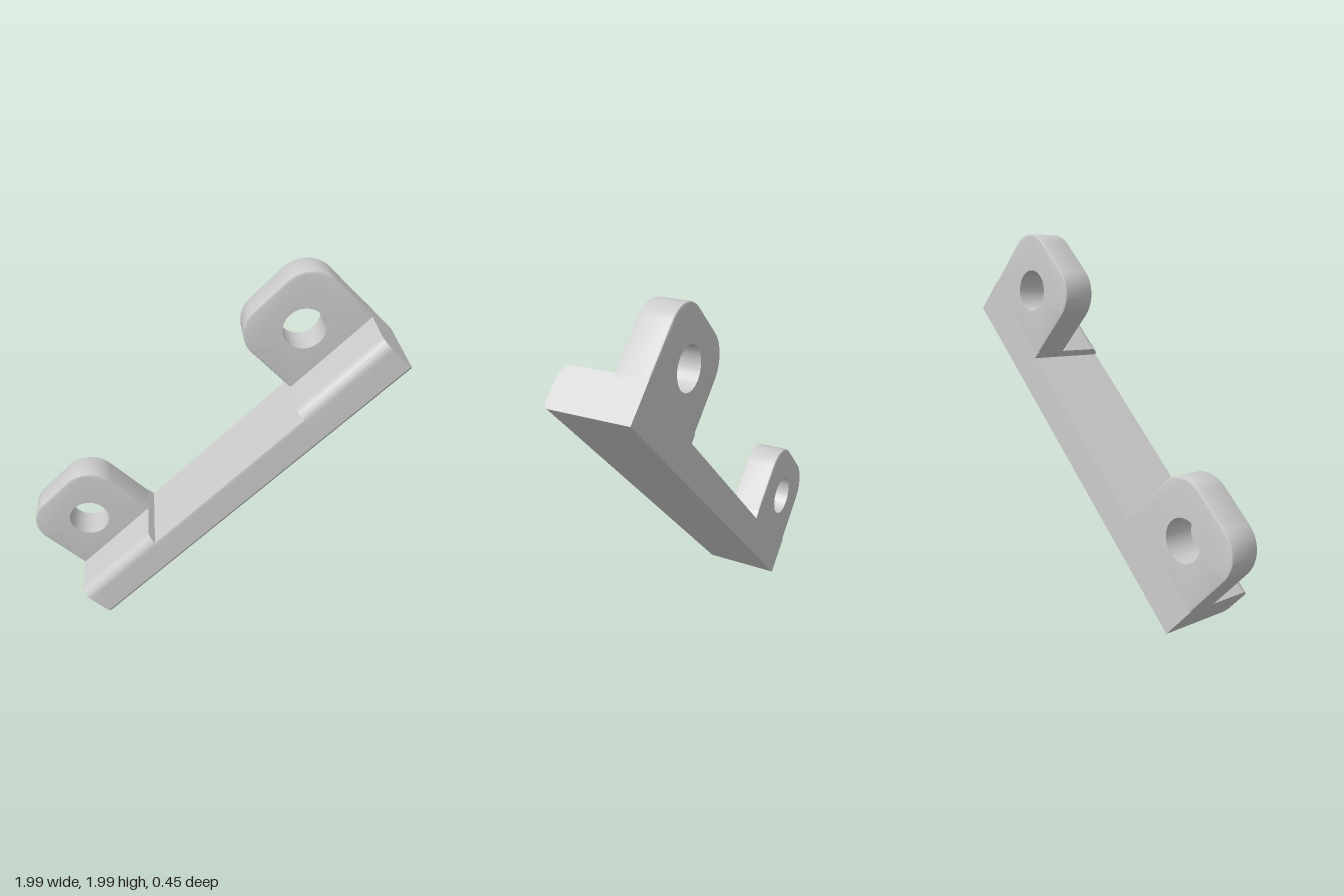
import * as THREE from 'three';
import { toCreasedNormals } from 'three/addons/utils/BufferGeometryUtils.js';

const LENGTH = 2.231, PAD = 0.562;   // bar length, length of each raised end
const HALF = 0.225;                  // half depth of the bar
const PAD_H = 0.223, MID_H = 0.174;  // heights of the ends and the middle
const FILLET = 0.065, CHAMFER = 0.02;
const EAR_TOP = 0.685, EAR_R = 0.17, EAR_DEPTH = 0.18, BEVEL = 0.012;
const HOLE_V = 0.426, HOLE_R = 0.113;

const material = new THREE.MeshStandardMaterial({ color: 0xcccccc });

function addMesh(parent, name, geometry) {
  const mesh = new THREE.Mesh(toCreasedNormals(geometry, 0.6), material);
  mesh.name = name;
  parent.add(mesh);
}

// Bar section with a rounded front top edge, cut off at the given height
function barSegment(start, length, height) {
  const cy = PAD_H - FILLET;
  const sweep = Math.asin(Math.min(1, (height - cy) / FILLET));
  const s = new THREE.Shape();
  s.moveTo(HALF, 0);
  s.lineTo(HALF, height);
  s.absarc(-HALF + FILLET, cy, FILLET, Math.PI - sweep, Math.PI, false);
  s.lineTo(-HALF, CHAMFER);
  s.lineTo(-HALF + CHAMFER, 0);
  s.closePath();
  const g = new THREE.ExtrudeGeometry(s, { depth: length, bevelEnabled: false, curveSegments: 6 });
  return g.rotateY(Math.PI / 2).translate(start, 0, 0);
}

// Mounting ear with rounded outer corners, soft edges and a straight round hole
function ear(start) {
  const base = 0.2, cu = PAD / 2;
  const s = new THREE.Shape();
  s.moveTo(0, base);
  s.lineTo(PAD, base);
  s.absarc(PAD - EAR_R, EAR_TOP - EAR_R, EAR_R, 0, Math.PI / 2, false);
  s.absarc(EAR_R, EAR_TOP - EAR_R, EAR_R, Math.PI / 2, Math.PI, false);
  s.closePath();
  const hole = new THREE.Path();
  hole.absarc(cu, HOLE_V, HOLE_R, 0, Math.PI * 2, true);
  s.holes.push(hole);
  const g = new THREE.ExtrudeGeometry(s, {
    depth: EAR_DEPTH - 2 * BEVEL, curveSegments: 12,
    bevelThickness: BEVEL, bevelSize: BEVEL, bevelOffset: -BEVEL, bevelSegments: 2,
  });
  // Keep the hole wall straight: pull its bevelled rim back to the radius
  const p = g.attributes.position;
  for (let i = 0; i < p.count; i++) {
    const dx = p.getX(i) - cu, dy = p.getY(i) - HOLE_V, d = Math.hypot(dx, dy);
    if (d < HOLE_R + 0.03) p.setXY(i, cu + dx / d * HOLE_R, HOLE_V + dy / d * HOLE_R);
  }
  return g.translate(start, 0, -HALF + BEVEL);
}

export function createModel() {
  const model = new THREE.Group();
  model.name = 'bracket';

  // Built lying along x, then tilted
  const bracket = new THREE.Group();
  bracket.name = 'tiltedBracket';
  bracket.rotation.z = Math.PI / 4;
  bracket.position.set(-0.585, 0.004, 0);
  model.add(bracket);

  addMesh(bracket, 'middleBar', barSegment(PAD, LENGTH - 2 * PAD, MID_H));
  for (const [side, start] of [['lower', 0], ['upper', LENGTH - PAD]]) {
    addMesh(bracket, side + 'EndBlock', barSegment(start, PAD, PAD_H));
    addMesh(bracket, side + 'MountingEar', ear(start));
  }
  return model;
}
